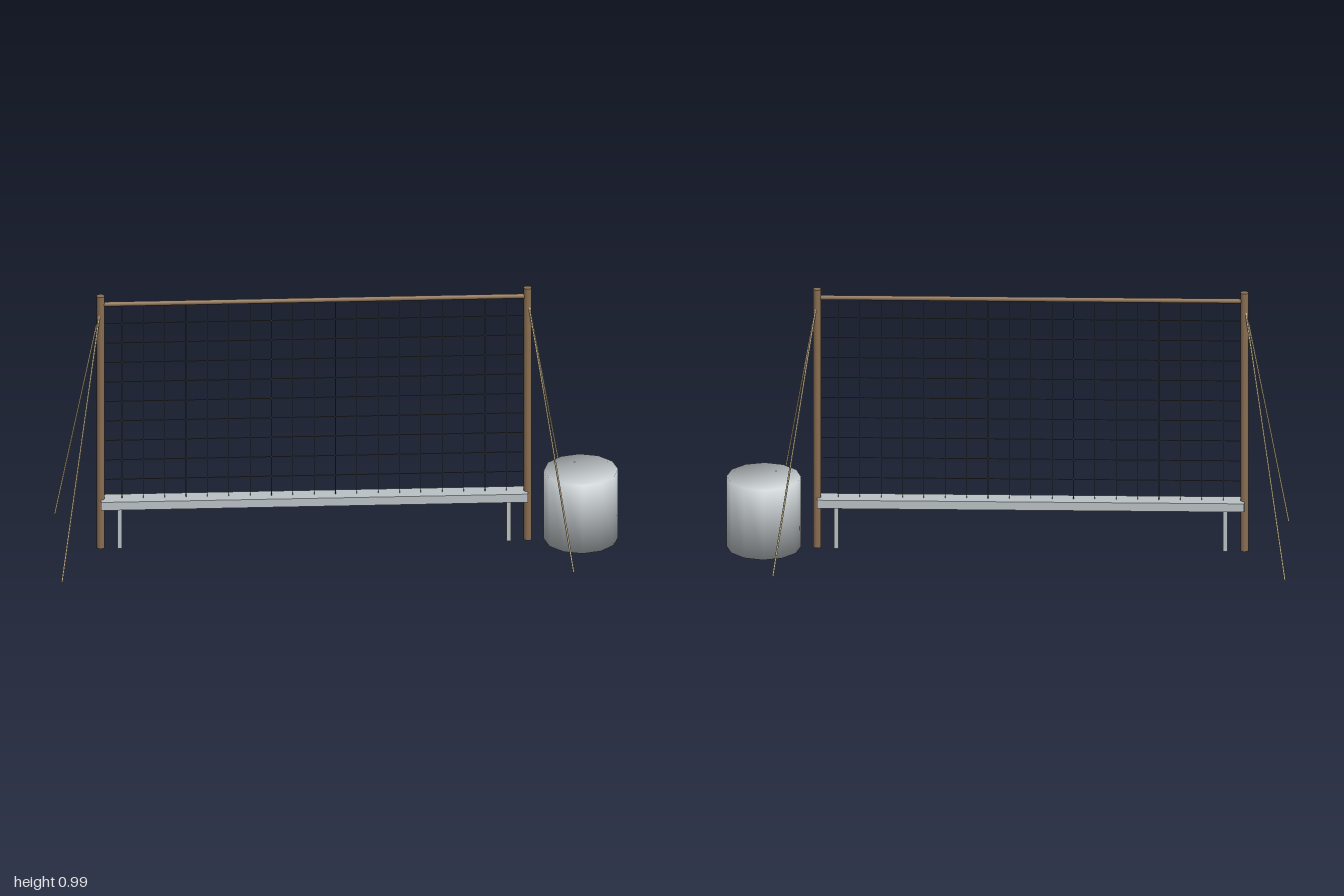
import * as THREE from 'three';

const LEFT = -0.846, RIGHT = 0.677;
const MID = (LEFT + RIGHT) / 2, SPAN = RIGHT - LEFT;

const paint = (color) => new THREE.MeshStandardMaterial({ color });
const metal = paint(0xbcc3c6), plastic = paint(0xc9cfd2);
const wood = paint(0x8b6f52), rope = paint(0xc4b490), mesh = paint(0x4a4a4a);

// Round rod between two points
function rod(name, from, to, radius, sides, material) {
  const a = new THREE.Vector3(...from), b = new THREE.Vector3(...to);
  const dir = b.clone().sub(a);
  const m = new THREE.Mesh(new THREE.CylinderGeometry(radius, radius, dir.length(), sides), material);
  m.position.copy(a).add(b).multiplyScalar(0.5);
  m.quaternion.setFromUnitVectors(new THREE.Vector3(0, 1, 0), dir.normalize());
  m.name = name;
  return m;
}

// Upright box
function box(name, size, position, material) {
  const m = new THREE.Mesh(new THREE.BoxGeometry(...size), material);
  m.position.set(...position);
  m.name = name;
  return m;
}

// Twelve-sided drum whose normals lean outward at both rims, for soft shading
function drumGeometry(radius, height) {
  const outline = new THREE.Shape().absarc(0, 0, radius, 0, Math.PI * 2);
  const drum = new THREE.ExtrudeGeometry(outline, { depth: height, curveSegments: 6, bevelEnabled: false });
  drum.rotateX(-Math.PI / 2);
  const { position, normal } = drum.attributes;
  const n = new THREE.Vector3();
  for (let i = 0; i < position.count; i++) {
    n.fromBufferAttribute(position, i);
    n.setY(n.y > height / 2 ? radius : -radius).normalize();
    normal.setXYZ(i, n.x, n.y, n.z);
  }
  return drum;
}

export function createModel() {
  const group = new THREE.Group();
  group.name = 'fogCollector';

  // Posts, each with two guy ropes
  for (const [side, x, out] of [['right', LEFT, -1], ['left', RIGHT, 1]]) {
    group.add(rod(`${side}Post`, [x, 0, 0], [x, 0.99, 0], 0.015, 10, wood));
    for (const s of [1, -1]) {
      const end = s > 0 ? 'Front' : 'Back';
      group.add(rod(`${side}${end}GuyRope`, [x, 0.95, 0], [x + out * 0.151, 0, s * 0.285], 0.0036, 6, rope));
    }
    // Flat gutter leg just inside the post
    group.add(box(`${side}GutterLeg`, [0.016, 0.162, 0.028], [x - out * 0.068, 0.081, 0], metal));
  }

  // Top rail
  group.add(rod('topRail', [LEFT, 0.957, 0], [RIGHT, 0.957, 0], 0.009, 8, wood));

  // Net of thin strands
  const net = new THREE.Group();
  net.name = 'net';
  const columns = 20, rows = 10, top = 0.957, bottom = 0.19;
  for (let i = 1; i < columns; i++) {
    const x = LEFT + (SPAN * i) / columns;
    net.add(box('verticalStrand', [0.002, top - bottom, 0.004], [x, (top + bottom) / 2, 0], mesh));
  }
  for (let j = 1; j < rows; j++) {
    const y = top - ((top - bottom) * j) / rows;
    net.add(box('horizontalStrand', [SPAN, 0.002, 0.004], [MID, y, 0], mesh));
  }
  group.add(net);

  // Gutter under the net
  group.add(box('gutter', [SPAN, 0.032, 0.068], [MID, 0.176, 0], metal));

  // Water barrel beside the left post
  const barrel = new THREE.Mesh(drumGeometry(0.133, 0.268), plastic);
  barrel.position.set(0.867, 0, 0);
  barrel.name = 'waterBarrel';
  group.add(barrel);

  return group;
}
